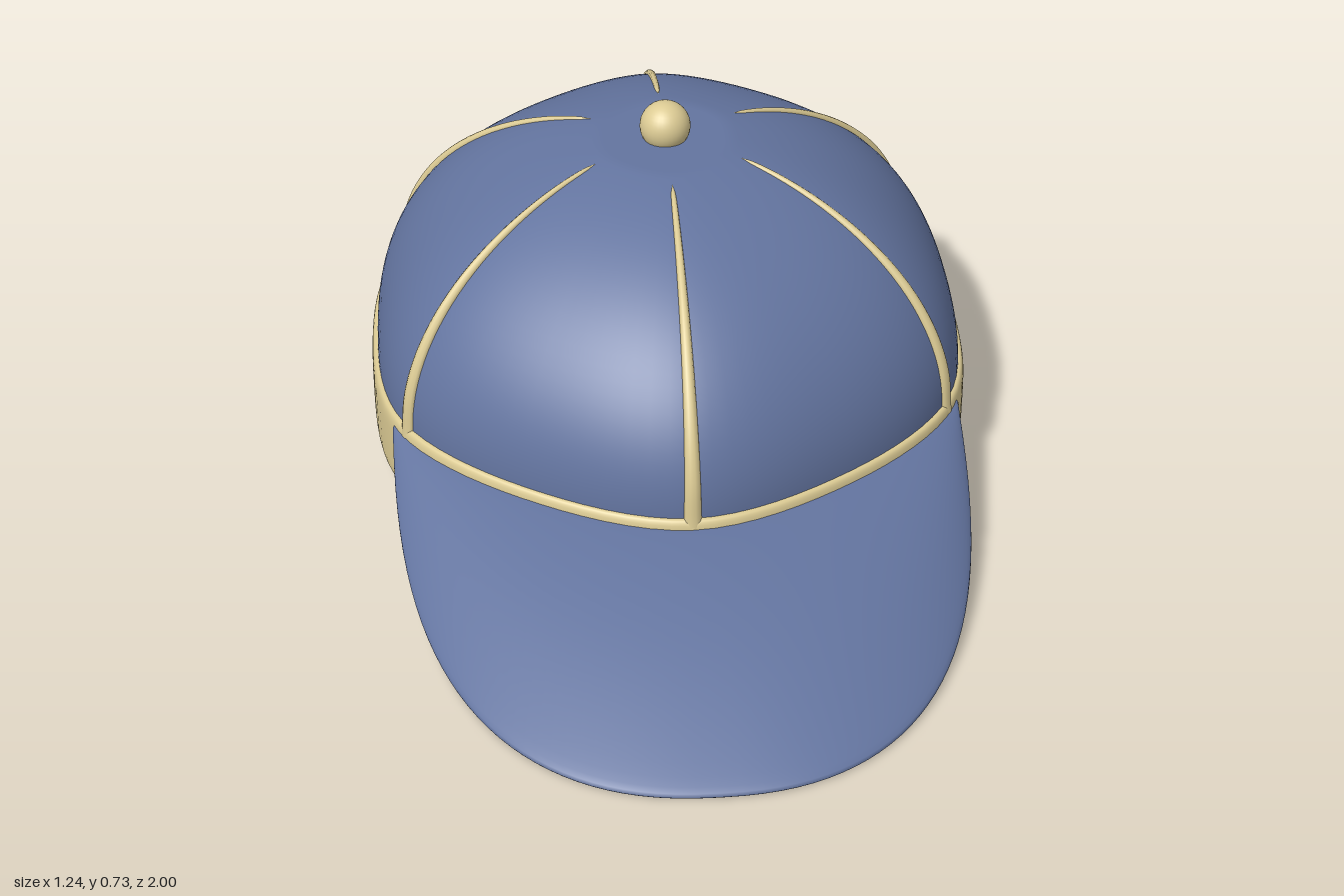
import * as THREE from 'three';
import { ParametricGeometry } from 'three/addons/geometries/ParametricGeometry.js';

const CZ = -0.28; // centre of the crown along z
const blue = new THREE.MeshStandardMaterial({ color: 0x63749f, side: THREE.DoubleSide });
const tan = new THREE.MeshStandardMaterial({ color: 0xdccb94, side: THREE.DoubleSide });

// Head outline: radii every 30 degrees, starting at the front
const radii = [0.705, 0.66, 0.655, 0.62, 0.655, 0.66, 0.705, 0.66, 0.655, 0.62, 0.655, 0.66];
const outline = new THREE.CatmullRomCurve3(radii.map((r, i) => {
  const a = (i * Math.PI) / 6;
  return new THREE.Vector3(r * Math.sin(a), 0, r * Math.cos(a));
}), true);

// Point on the outline at angle a, scaled about the centre, at height y
function around(a, scale, y, target = new THREE.Vector3()) {
  const turn = a / (2 * Math.PI);
  outline.getPoint(((turn % 1) + 1) % 1, target).multiplyScalar(scale);
  return target.set(target.x, y, target.z + CZ);
}

// Dome height for a fraction f of the base radius, flattened on top
const domeY = (f) => Math.min(0.662, 0.2 + 0.475 * Math.sqrt(Math.max(0, 1 - f * f)));
const spow = (v, p) => Math.sign(v) * Math.pow(Math.abs(v), p);

function surface(name, material, func, uSegs, vSegs) {
  const mesh = new THREE.Mesh(new ParametricGeometry(func, uSegs, vSegs), material);
  mesh.name = name;
  return mesh;
}

// Tapered piping running down the dome and over the band
function makeSeam(a) {
  const pts = [];
  for (let i = 0; i <= 8; i++) {
    const f = Math.sin(THREE.MathUtils.lerp(0.273, Math.PI / 2, i / 8));
    pts.push(around(a, f * 0.982, domeY(f)));
  }
  pts.push(around(a, 0.988, 0.16), around(a, 0.99, 0.115));
  const path = new THREE.CatmullRomCurve3(pts);
  const side = new THREE.Vector3(Math.cos(a), 0, -Math.sin(a));
  return surface('seam', tan, (u, v, target) => {
    const n = path.getTangent(u).cross(side).normalize();
    const end = Math.min(1, u * 40, (1 - u) * 40);
    const w = (0.005 + 0.013 * Math.min(1, u * 1.2)) * end;
    const b = 2 * Math.PI * v;
    path.getPoint(u, target);
    target.addScaledVector(side, w * Math.cos(b));
    target.addScaledVector(n, -Math.min(w, 0.012) * Math.sin(b));
  }, 48, 10);
}

export function createModel() {
  const group = new THREE.Group();
  group.name = 'cap';

  // Domed crown, open underneath
  group.add(surface('crown', blue, (u, v, target) => {
    const f = Math.sin((Math.PI / 2) * (1 - v * 0.998));
    around(2 * Math.PI * u, f * 0.982, domeY(f), target);
  }, 96, 32));

  // Thick band with rounded edges
  group.add(surface('headband', tan, (u, v, target) => {
    const b = 2 * Math.PI * v;
    const scale = 0.97 + 0.033 * spow(Math.cos(b), 0.4);
    around(2 * Math.PI * u, scale, 0.124 + 0.082 * spow(Math.sin(b), 0.4), target);
  }, 96, 32));

  // Brim: spans from the band to a drooping outer edge
  const inner = new THREE.Vector3();
  group.add(surface('brim', blue, (u, v, target) => {
    const k = 2 * u - 1;
    around(k * THREE.MathUtils.degToRad(62), 0.975, 0.183, inner);
    const th = (k * Math.PI) / 2;
    const t = spow(Math.max(0, Math.cos(th)), 0.85);
    const edgeY = 0.175 - 0.161 * (1 - Math.pow(1 - t, 2.2));
    const s = (1 - Math.cos(2 * Math.PI * v)) / 2;
    target.set(0.58 * spow(Math.sin(th), 0.85), edgeY, 0.03 + 0.97 * t);
    target.lerpVectors(inner, target, s);
    target.y += 0.02 * Math.sin(Math.PI * s) * t;
    target.y -= 0.013 * spow(Math.sin(2 * Math.PI * v), 0.5);
  }, 64, 40));

  // Six seams
  for (const deg of [0, 58, 122, 180, 238, 302]) {
    group.add(makeSeam(THREE.MathUtils.degToRad(deg)));
  }

  // Faceted adjustment strap across the back
  const shape = new THREE.Shape();
  const N = 8;
  const strapPoint = (i, scale) => {
    const p = around(Math.PI + THREE.MathUtils.degToRad(24.5) * ((2 * i) / N - 1), scale, 0);
    return new THREE.Vector2(p.x, -p.z);
  };
  const loop = [];
  for (let i = 0; i <= N; i++) loop.push(strapPoint(i, 1.02));
  for (let i = N; i >= 0; i--) loop.push(strapPoint(i, 0.985));
  shape.setFromPoints(loop);
  const strapGeo = new THREE.ExtrudeGeometry(shape, { depth: 0.15, bevelEnabled: false });
  const strap = new THREE.Mesh(strapGeo.rotateX(-Math.PI / 2).translate(0, 0.107, 0), tan);
  strap.name = 'backStrap';
  group.add(strap);

  // Button on top
  const button = new THREE.Mesh(new THREE.SphereGeometry(0.052, 32, 20), tan);
  button.position.set(0, 0.688, CZ);
  button.name = 'topButton';
  group.add(button);

  return group;
}
